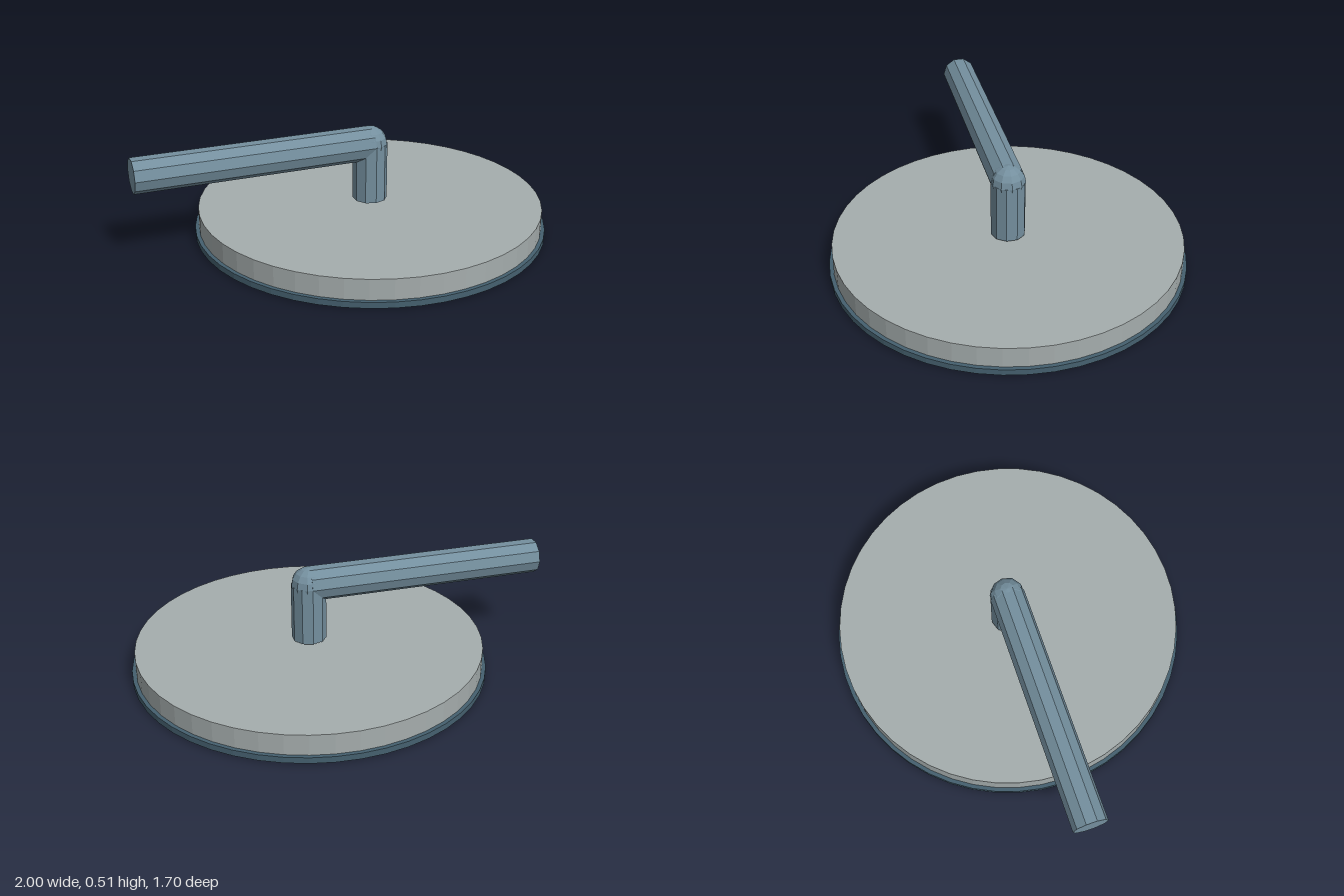
import * as THREE from 'three';

const paint = (name, color) => {
  const m = new THREE.MeshStandardMaterial({ color });
  m.name = name;
  return m;
};

export function createModel() {
  const pipeBlue = paint('pipeBlue', 0x748f9e);
  const bodyGrey = paint('bodyGrey', 0xa5adad);
  const rimBlue = paint('rimBlue', 0x45606f);

  const model = new THREE.Group();
  model.name = 'rainShower';
  const headX = 0.147, pipeY = 0.428, pipeR = 0.083;

  // Adds a faceted mesh
  const add = (parent, name, geometry, material, x = 0, y = 0, z = 0) => {
    const faceted = geometry.index ? geometry.toNonIndexed() : geometry;
    faceted.computeVertexNormals();
    const mesh = new THREE.Mesh(faceted, material);
    mesh.name = name;
    mesh.position.set(x, y, z);
    parent.add(mesh);
    return mesh;
  };

  // Shower head: grey drum, square-edged rim, and a fine ring on the spray face
  const head = new THREE.Group();
  head.name = 'showerHead';
  head.position.x = headX;
  model.add(head);
  add(head, 'drum', new THREE.CylinderGeometry(0.83, 0.83, 0.112, 48), bodyGrey, 0, 0.076);

  const rimProfile = [[0.79, 0.003], [0.849, 0.003], [0.849, 0.032], [0.79, 0.032], [0.79, 0.003]]
    .map(([r, y]) => new THREE.Vector2(r, y));
  add(head, 'rim', new THREE.LatheGeometry(rimProfile, 48), rimBlue);

  const ring = new THREE.TorusGeometry(0.757, 0.006, 6, 48).rotateX(Math.PI / 2);
  add(head, 'faceRing', ring, rimBlue, 0, 0.02);

  // Nozzles in concentric rings, six more in each ring
  const nozzles = new THREE.Group();
  nozzles.name = 'nozzles';
  head.add(nozzles);
  const nozzle = new THREE.CylinderGeometry(0.014, 0.012, 0.022, 8);
  for (let n = 0; n <= 6; n++) {
    const count = Math.max(1, 6 * n);
    for (let i = 0; i < count; i++) {
      const a = (i / count) * Math.PI * 2, r = 0.115 * n;
      add(nozzles, 'nozzle', nozzle, rimBlue, r * Math.cos(a), 0.011, r * Math.sin(a));
    }
  }

  // Ten-sided arm with a rounded elbow
  const dropLength = pipeY - 0.147, armLength = 1 + headX;
  add(model, 'dropPipe', new THREE.CylinderGeometry(pipeR, pipeR, dropLength, 10),
    pipeBlue, headX, pipeY - dropLength / 2);
  const arm = new THREE.CylinderGeometry(pipeR, pipeR, armLength, 10).rotateZ(Math.PI / 2);
  add(model, 'wallArm', arm, pipeBlue, headX - armLength / 2, pipeY);
  add(model, 'elbow', new THREE.SphereGeometry(pipeR, 10, 8), pipeBlue, headX, pipeY);

  return model;
}
